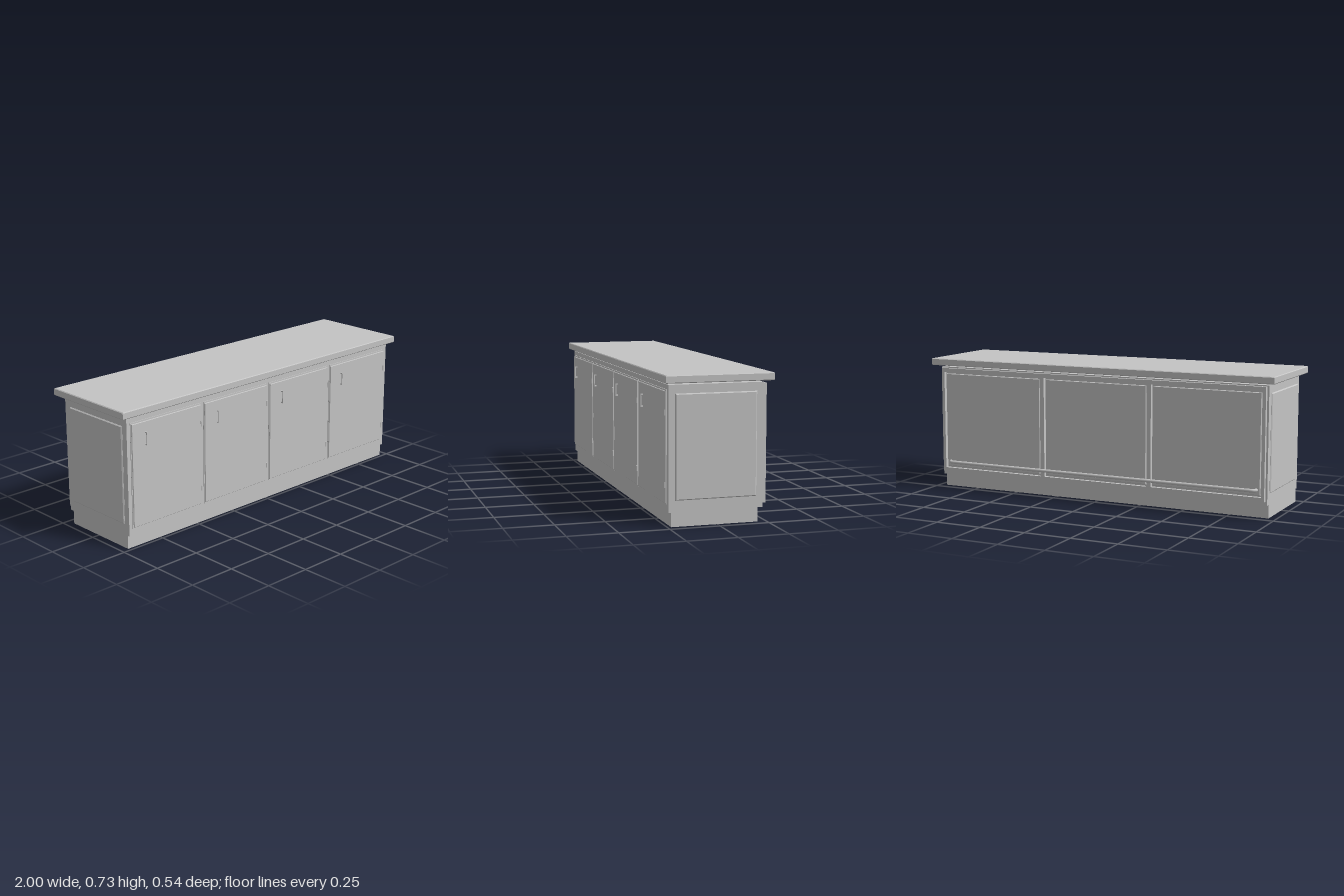
import * as THREE from 'three';

export function createModel() {
  const group = new THREE.Group();
  const grey = new THREE.MeshStandardMaterial({ color: 0xc4c4c4 });
  grey.name = 'grey';

  const add = (name, geometry, parent = group) => {
    const mesh = new THREE.Mesh(geometry, grey);
    mesh.name = name;
    parent.add(mesh);
    return mesh;
  };

  // box given by its limits on each axis
  const box = (name, x0, x1, y0, y1, z0, z1, parent) => {
    const mesh = add(name, new THREE.BoxGeometry(x1 - x0, y1 - y0, z1 - z0), parent);
    mesh.position.set((x0 + x1) / 2, (y0 + y1) / 2, (z0 + z1) / 2);
    return mesh;
  };

  const rectangle = (PathType, x0, x1, y0, y1) => new PathType([
    new THREE.Vector2(x0, y0), new THREE.Vector2(x1, y0),
    new THREE.Vector2(x1, y1), new THREE.Vector2(x0, y1),
  ]);

  // plate with a chamfered front edge, back on z = 0
  const plate = (w, h, depth, bevel) => {
    const shape = rectangle(THREE.Shape, -w / 2 + bevel, w / 2 - bevel, -h / 2 + bevel, h / 2 - bevel);
    const geometry = new THREE.ExtrudeGeometry(shape, {
      depth: depth - 2 * bevel, bevelSize: bevel, bevelThickness: bevel, bevelSegments: 1,
    });
    return geometry.translate(0, 0, bevel);
  };

  // cabinet, plinth and worktop
  box('plinth', -0.96, 0.96, 0, 0.07, -0.206, 0.232);
  box('cabinetBody', -0.96, 0.96, 0.07, 0.679, -0.23, 0.246);
  const worktop = add('worktop', plate(2, 0.543, 0.038, 0.004));
  worktop.rotation.x = -Math.PI / 2;
  worktop.position.y = 0.689;

  // chamfered panels on both ends
  for (const side of [-1, 1]) {
    const panel = add('endPanel', plate(0.41, 0.51, 0.012, 0.005));
    panel.rotation.y = side * Math.PI / 2;
    panel.position.set(side * 0.954, 0.382, 0.008);
  }

  // four doors, each with a handle and two hinges
  const doorEdges = [[-0.935, -0.487], [-0.46, -0.018], [0.008, 0.454], [0.481, 0.93]];
  for (const [left, right] of doorEdges) {
    const door = new THREE.Group();
    door.name = 'door';
    group.add(door);
    box('doorBack', left - 0.004, right + 0.004, 0.105, 0.655, 0.244, 0.25, door);
    const front = add('doorFront', plate(right - left, 0.535, 0.009, 0.002), door);
    front.position.set((left + right) / 2, 0.38, 0.247);
    const hx = left + 0.084;
    box('handleGrip', hx - 0.003, hx + 0.003, 0.527, 0.594, 0.265, 0.27, door);
    for (const y of [0.53, 0.591]) {
      box('handlePost', hx - 0.003, hx + 0.003, y - 0.003, y + 0.003, 0.255, 0.266, door);
    }
    for (const y of [0.2, 0.547]) {
      const hinge = add('hinge', new THREE.CylinderGeometry(0.004, 0.004, 0.028, 10), door);
      hinge.position.set(right + 0.001, y, 0.256);
    }
  }

  // back frame around three shallow recesses
  const frame = rectangle(THREE.Shape, -0.95, 0.95, 0.09, 0.673);
  for (const x of [-0.63, 0, 0.63]) {
    frame.holes.push(rectangle(THREE.Path, x - 0.303, x + 0.303, 0.112, 0.65));
    const panel = add('backPanel', plate(0.59, 0.522, 0.012, 0.003));
    panel.rotation.y = Math.PI;
    panel.position.set(x, 0.381, -0.228);
  }
  const backFrame = add('backFrame', new THREE.ExtrudeGeometry(frame, { depth: 0.021, bevelEnabled: false }));
  backFrame.position.z = -0.25;

  // foot rail with ends turned in to the back
  const path = new THREE.CurvePath();
  const v = (x, z) => new THREE.Vector3(x, 0.147, z);
  path.add(new THREE.QuadraticBezierCurve3(v(-0.905, -0.236), v(-0.905, -0.261), v(-0.88, -0.261)));
  path.add(new THREE.LineCurve3(v(-0.88, -0.261), v(0.88, -0.261)));
  path.add(new THREE.QuadraticBezierCurve3(v(0.88, -0.261), v(0.905, -0.261), v(0.905, -0.236)));
  add('footRail', new THREE.TubeGeometry(path, 160, 0.009, 12, false));
  for (const x of [-0.69, 0, 0.69]) {
    box('railBracket', x - 0.014, x + 0.014, 0.136, 0.148, -0.262, -0.236);
  }

  return group;
}
